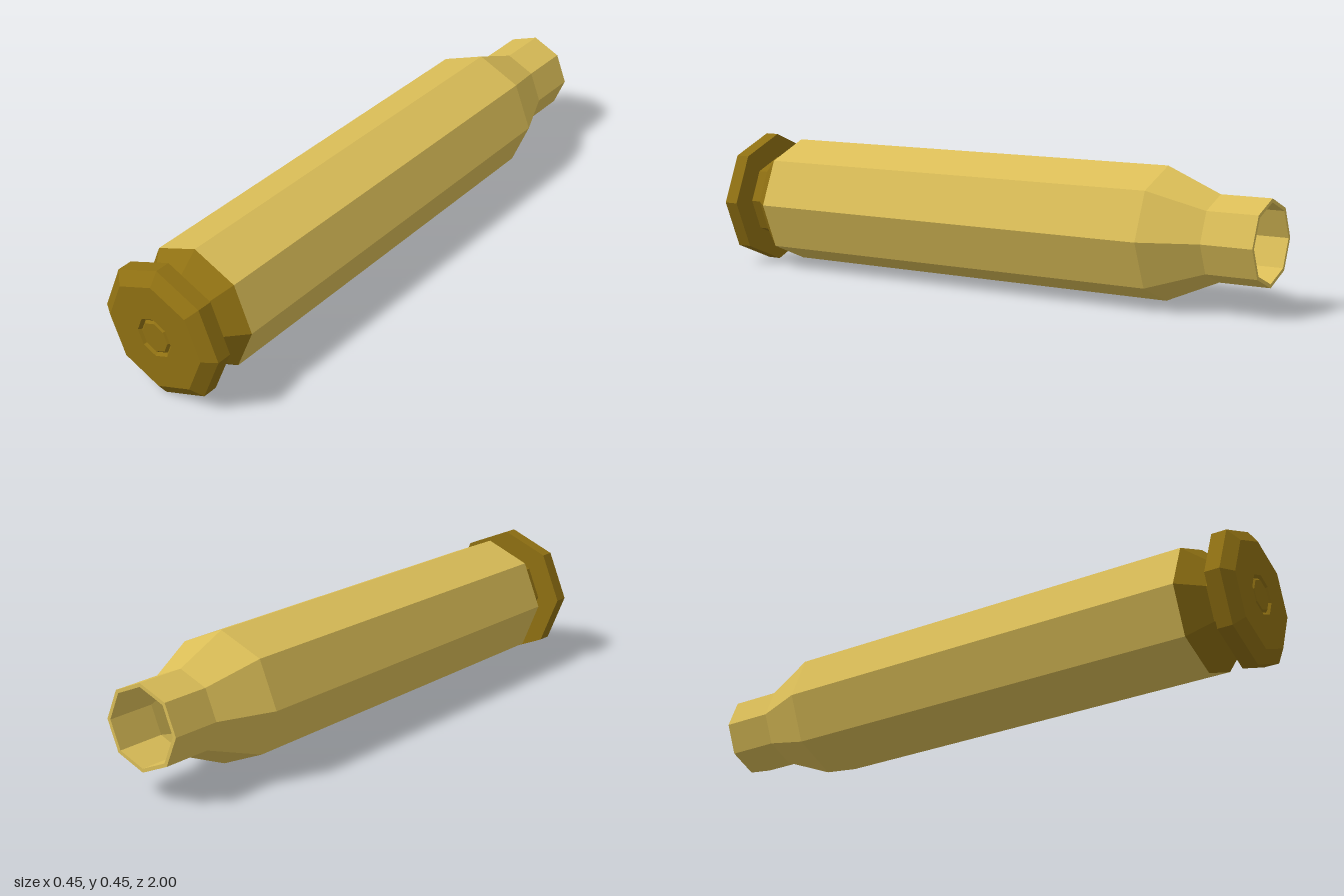
import * as THREE from 'three';

const SIDES = 8;
const AXIS_HEIGHT = 0.225;

// Eight-sided turned part; profile pairs are [radius, z]
function turned(name, profile, color) {
  const geometry = new THREE.LatheGeometry(profile.map(([r, z]) => new THREE.Vector2(r, z)), SIDES);
  geometry.rotateX(Math.PI / 2);
  const material = new THREE.MeshStandardMaterial({ color, flatShading: true, side: THREE.DoubleSide });
  const mesh = new THREE.Mesh(geometry, material);
  mesh.name = name;
  mesh.position.y = AXIS_HEIGHT;
  return mesh;
}

export function createModel() {
  const group = new THREE.Group();
  group.name = 'cartridgeCase';
  const brass = 0xdabd57;
  const darkBrass = 0x8f7012;

  // Hollow tube: inside wall forward to the mouth lip, then outside wall back to the head
  group.add(turned('caseBody', [
    [0, 0.8], [0.198, 0.8], [0.198, -0.65], [0.124, -0.83], [0.124, -1],
    [0.136, -1], [0.136, -0.83], [0.212, -0.65], [0.212, 0.81],
  ], brass));

  // Head: taper, extraction groove and bevelled rim, up to the edge of the primer pocket
  group.add(turned('caseHead', [
    [0.212, 0.81], [0.143, 0.885], [0.143, 0.92], [0.225, 0.92],
    [0.225, 0.97], [0.182, 1], [0.067, 1], [0.058, 0.99],
  ], darkBrass));

  // Primer cap with a bevelled edge
  group.add(turned('primer', [[0.058, 0.99], [0.05, 0.998], [0, 0.998]], darkBrass));

  return group;
}
